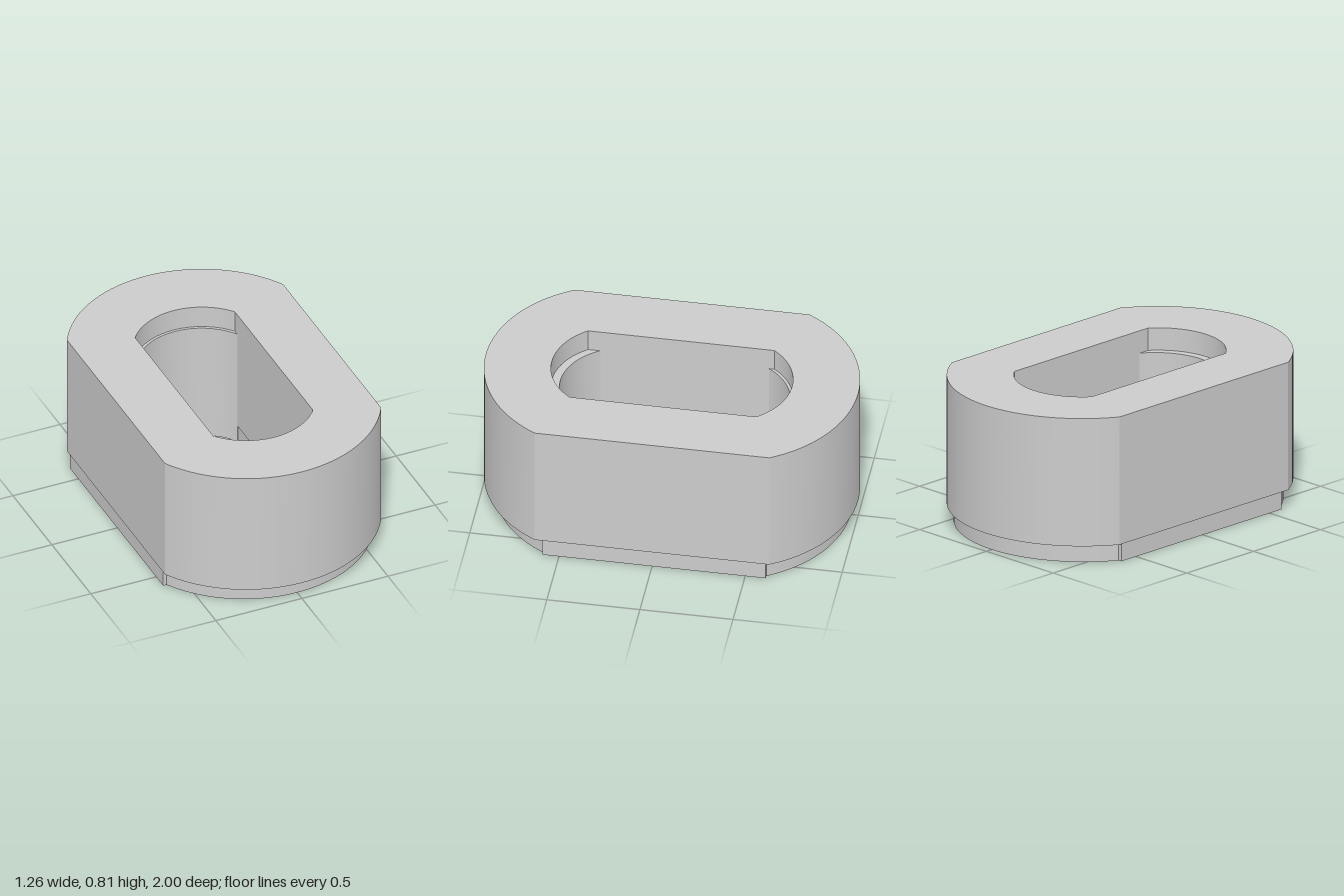
import * as THREE from 'three';
import { toCreasedNormals } from 'three/addons/utils/BufferGeometryUtils.js';

const material = new THREE.MeshStandardMaterial({ color: 0xcccccc });
const SEGMENTS = 40;

// Heights: underside, top of the plug, ledge inside the opening, top face
const PLUG = 0.1, LEDGE = 0.69, TOP = 0.815;

// Arc bulging from (w, corner) over (0, apex) to (-w, corner); negative z for the back end
function arc(w, corner, apex) {
  const sag = Math.abs(apex - corner);
  const r = (w * w + sag * sag) / (2 * sag);
  const half = Math.asin(w / r);
  const sign = Math.sign(apex);
  const points = [];
  for (let i = 0; i <= SEGMENTS; i++) {
    const a = half * (1 - (2 * i) / SEGMENTS);
    points.push(new THREE.Vector2(r * Math.sin(a), apex - sign * r * (1 - Math.cos(a))));
  }
  return points;
}

// Closed outline in (x, z): two arcs joined by straight sides, stepped if side is wider than w
function outline({ w, side = w, front, back }) {
  const points = [];
  const add = (x, z) => { if (side !== w) points.push(new THREE.Vector2(x, z)); };
  add(side, front[0]);
  points.push(...arc(w, ...front));
  add(-side, front[0]);
  add(-side, back[0]);
  points.push(...arc(w, ...back).reverse());
  add(side, back[0]);
  return points;
}

// Upright wall along an outline
function wall(points, y0, y1, inward = false) {
  const pos = [];
  points.forEach((a, i) => {
    const b = points[(i + 1) % points.length];
    const a0 = [a.x, y0, a.y], a1 = [a.x, y1, a.y];
    const b0 = [b.x, y0, b.y], b1 = [b.x, y1, b.y];
    const corners = inward ? [a0, b0, a1, b0, b1, a1] : [a0, a1, b0, b0, a1, b1];
    pos.push(...corners.flat());
  });
  const g = new THREE.BufferGeometry();
  g.setAttribute('position', new THREE.Float32BufferAttribute(pos, 3));
  return toCreasedNormals(g, 0.35);
}

// Flat horizontal face, optionally with a hole
function face(points, hole, y, up) {
  const flip = (list) => list.map((p) => new THREE.Vector2(p.x, up ? -p.y : p.y));
  const shape = new THREE.Shape(flip(points));
  if (hole) shape.holes.push(new THREE.Path(flip(hole)));
  return new THREE.ShapeGeometry(shape).rotateX(up ? -Math.PI / 2 : Math.PI / 2).translate(0, y, 0);
}

export function createModel() {
  const model = new THREE.Group();
  const add = (name, geometry) => {
    const mesh = new THREE.Mesh(geometry, material);
    mesh.name = name;
    model.add(mesh);
  };

  const body = outline({ w: 0.628, front: [0.63, 1], back: [-0.63, -1] });
  const plug = outline({ w: 0.6, side: 0.62, front: [0.59, 0.94], back: [-0.61, -0.96] });
  const upper = { w: 0.29, front: [0.5, 0.645], back: [-0.5, -0.645] };
  const lower = { w: 0.29, front: [0.435, 0.6], back: [-0.47, -0.63] };
  const upperHole = outline(upper);
  const lowerHole = outline(lower);
  const plugHole = outline({ ...lower, side: 0.295 });

  // Main body
  add('bodyWall', wall(body, PLUG, TOP));
  add('bodyTop', face(body, upperHole, TOP, true));
  add('bodyUnderside', face(body, plug, PLUG, false));

  // Opening through the body
  add('upperOpening', wall(upperHole, LEDGE, TOP, true));
  add('lowerOpening', wall(lowerHole, PLUG, LEDGE, true));
  for (const end of ['front', 'back']) {
    const crescent = [...arc(upper.w, ...upper[end]), ...arc(lower.w, ...lower[end]).reverse()];
    add(end + 'Ledge', face(crescent, null, LEDGE, true));
  }

  // Stepped plug below the body
  add('plugWall', wall(plug, 0, PLUG));
  add('plugOpening', wall(plugHole, 0, PLUG, true));
  add('plugUnderside', face(plug, plugHole, 0, false));

  // Narrow steps where the plug opening is wider than the body opening
  for (const s of [-1, 1]) {
    const strip = [[0.29, 0.435], [0.295, 0.435], [0.295, -0.47], [0.29, -0.47]]
      .map(([x, z]) => new THREE.Vector2(s * x, z));
    add(s > 0 ? 'leftStep' : 'rightStep', face(strip, null, PLUG, false));
  }
  return model;
}
